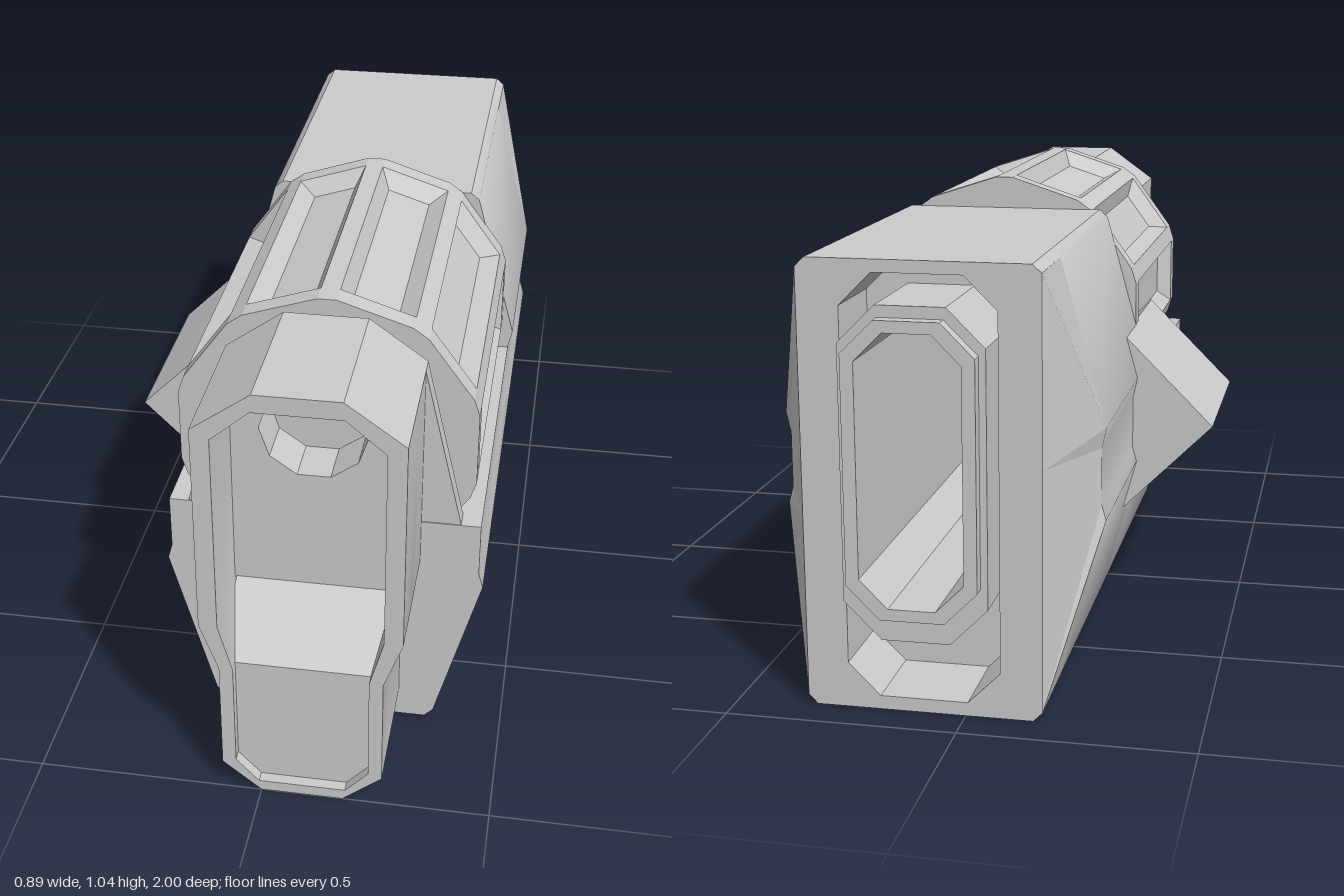
import * as THREE from 'three';
import { toCreasedNormals } from 'three/addons/utils/BufferGeometryUtils.js';

const grey = new THREE.MeshStandardMaterial({ color: 0xcccccc });
const flat = new THREE.MeshStandardMaterial({ color: 0xcccccc, flatShading: true });

// Full outline from its right half, listed from bottom to top
const mirror = half => [...half, ...half.map(([x, y]) => [-x, y]).reverse()];
// Chamfered rectangle
const oct = (hw, y0, y1, c) => mirror([[hw - c, y0], [hw, y0 + c], [hw, y1 - c], [hw - c, y1]]);
const vec = pts => pts.map(([x, y]) => new THREE.Vector2(x, y));

// Straight prism between two z positions, with an optional hole
function prism(name, outline, z0, z1, hole, crease = 0.6) {
  const shape = new THREE.Shape(vec(outline));
  if (hole) shape.holes.push(new THREE.Path(vec(hole)));
  const g = new THREE.ExtrudeGeometry(shape, { depth: z1 - z0, bevelEnabled: false });
  g.translate(0, 0, z0);
  const m = new THREE.Mesh(toCreasedNormals(g, crease), grey);
  m.name = name;
  return m;
}

// Flat-shaded mesh from a list of quads
function quadMesh(name, quads) {
  const pos = quads.flatMap(([a, b, c, d]) => [a, b, c, a, c, d]).flat();
  const g = new THREE.BufferGeometry();
  g.setAttribute('position', new THREE.Float32BufferAttribute(pos, 3));
  g.computeVertexNormals();
  const m = new THREE.Mesh(g, flat);
  m.name = name;
  return m;
}

// Drum with ten sunken trays separated by narrow ridges
function makeDrum() {
  const R = 0.338, cy = 0.704, zf = 0.65, zb = -0.104, d = Math.PI / 180;
  const P = (a, z, r = R) => [r * Math.sin(a * d), cy + r * Math.cos(a * d), z];
  const strip = (a, b, z0, z1) => [P(a, z0), P(b, z0), P(b, z1), P(a, z1)];
  const quads = [];
  for (let i = 0; i < 10; i++) {
    const r0 = i * 36 - 3.5, a = i * 36 + 3.5, b = i * 36 + 32.5;
    quads.push(strip(r0, a, zf, zb), strip(a, b, zf, 0.6), strip(a, b, -0.055, zb));
    const outer = strip(a, b, 0.6, -0.055);
    const r = R - 0.04;
    const inner = [P(a + 4.5, 0.56, r), P(b - 4.5, 0.56, r), P(b - 4.5, -0.015, r), P(a + 4.5, -0.015, r)];
    quads.push(inner);
    for (let k = 0; k < 4; k++) {
      const n = (k + 1) % 4;
      quads.push([outer[k], outer[n], inner[n], inner[k]]);
    }
    // End caps
    quads.push([[0, cy, zf], P(b, zf), P(a, zf), P(r0, zf)]);
    quads.push([[0, cy, zb], P(r0, zb), P(a, zb), P(b, zb)]);
  }
  return quadMesh('drum', quads);
}

export function createModel() {
  const root = new THREE.Group();
  root.name = 'model';
  const main = new THREE.Group();
  main.name = 'mainAssembly';
  main.position.x = 0.09;
  root.add(main);

  // Body: faceted sides with a shallow side channel
  const lowerHalf = [[0.235, 0], [0.255, 0.02], [0.355, 0.385], [0.345, 0.42], [0.345, 0.545]];
  const fullHalf = [...lowerHalf, [0.355, 0.59], [0.255, 0.95], [0.235, 0.967]];
  const full = mirror(fullHalf);
  const bore = oct(0.11, 0.26, 0.835, 0.06);
  main.add(prism('lowerBody', mirror(lowerHalf), -0.1, 0.705));
  main.add(prism('rearBody', full, -0.72, -0.1, bore));

  // Tapered tail: the sides are cut by slanted planes
  const tailY = [0, 0.02, 0.021, 0.42, 0.545, 0.949, 0.95, 0.967];
  const tailHalf = tailY.map((y, i) => [i === 0 || i === 7 ? 0.235 : 0.255, y]);
  const tail = mirror(tailHalf);
  const at = (p, z) => [p[0], p[1], z];
  main.add(quadMesh('tailTaper', full.map((p, i) => {
    const j = (i + 1) % full.length;
    return [at(p, -0.72), at(tail[i], -0.915), at(tail[j], -0.915), at(full[j], -0.72)];
  })));
  main.add(prism('tailRecess', oct(0.255, 0, 0.967, 0.02), -0.915, -0.72, oct(0.165, 0.03, 0.94, 0.07)));

  // Hollow stepped nozzle
  main.add(prism('nozzle', oct(0.153, 0.18, 0.885, 0.08), -0.97, -0.71, bore));
  main.add(prism('nozzleLip', oct(0.138, 0.235, 0.86, 0.07), -1, -0.96, bore));

  // Drum on its axle
  main.add(makeDrum());
  const ring = Array.from({ length: 10 }, (_, i) => {
    const a = (i + 0.5) * Math.PI / 5 + Math.PI / 2;
    return [0.115 * Math.cos(a), 0.823 + 0.111 * Math.sin(a)];
  });
  main.add(prism('axle', ring, 0.6, 0.71));

  // Front collar joining the body to the neck
  main.add(prism('frontCollar', mirror([[0.305, 0.53], [0.215, 0.92]]), 0.66, 0.703, ring));

  // Neck: hollow front shell, narrower at the bottom
  const neck = mirror([[0.09, 0], [0.175, 0.07], [0.175, 0.33], [0.215, 0.44], [0.215, 0.92], [0.09, 1.01]]);
  const mouth = mirror([[0.095, 0.025], [0.145, 0.08], [0.145, 0.33], [0.175, 0.44], [0.175, 0.9], [0.093, 0.97]]);
  main.add(prism('neckCore', neck, 0.66, 0.82, ring));
  main.add(prism('neckRim', neck, 0.82, 1, mouth));

  // Raised lower panel and ramp inside the neck
  main.add(prism('neckPanel', mirror([[0.095, 0.025], [0.145, 0.08], [0.145, 0.33]]), 0.81, 0.975));
  const ramp = prism('neckRamp', [[0.81, 0.33], [0.975, 0.33], [0.82, 0.44], [0.81, 0.44]], -0.172, 0.172);
  ramp.geometry.rotateY(-Math.PI / 2);
  main.add(ramp);

  // Diamond-shaped side block
  const fin = new THREE.Mesh(new THREE.BoxGeometry(0.3, 0.3, 0.47), flat);
  fin.name = 'sideBlock';
  fin.rotation.z = Math.PI / 4;
  fin.position.set(-0.323, 0.48, -0.025);
  main.add(fin);

  return root;
}
